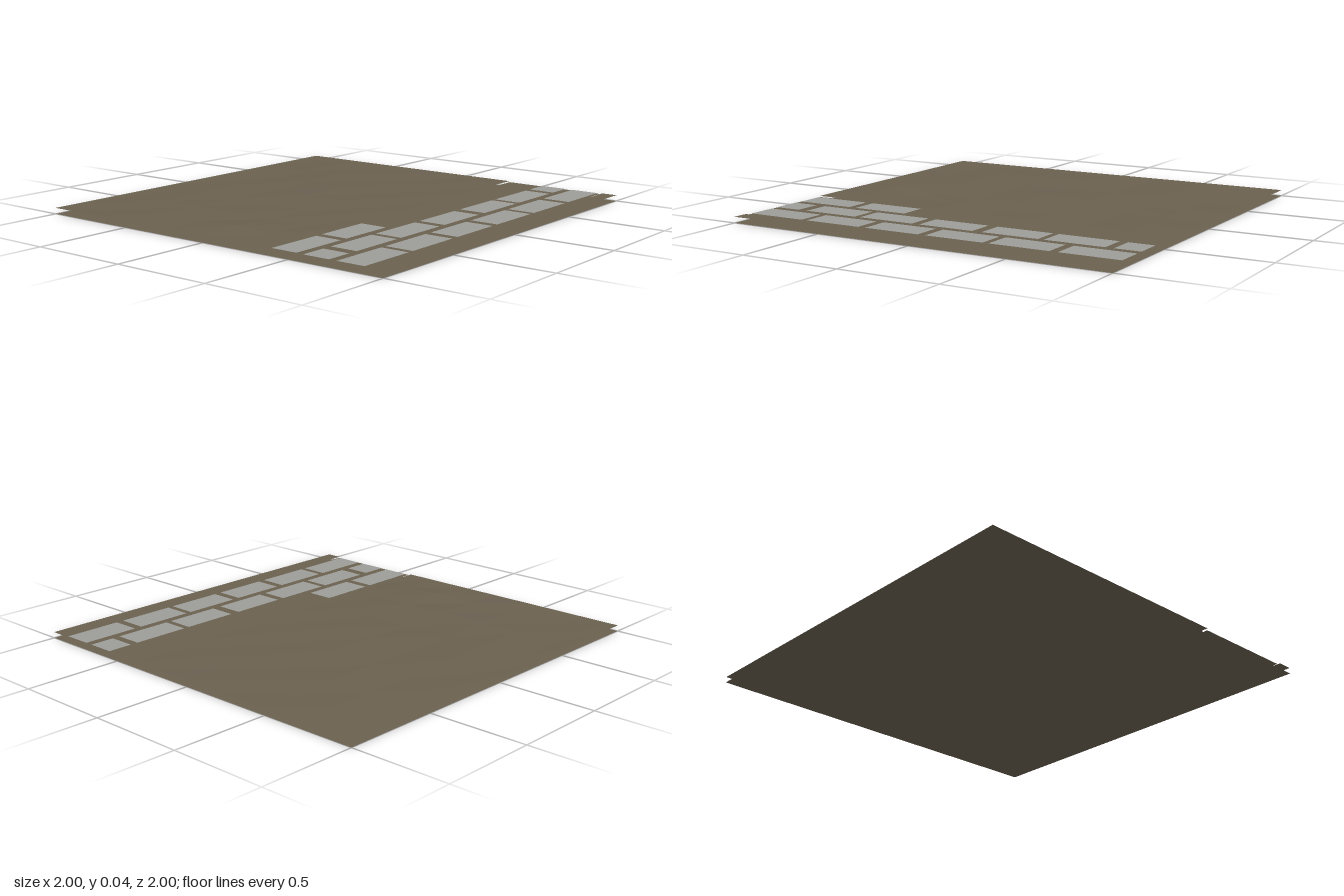
import * as THREE from 'three';

const soil = new THREE.MeshStandardMaterial({ color: 0x6a604f, flatShading: true, side: THREE.DoubleSide });
soil.name = 'soil brown';
const stone = new THREE.MeshStandardMaterial({ color: 0x9c9c99, side: THREE.DoubleSide });
stone.name = 'paving grey';

// Flat horizontal sheet spanning x0..x1, z0..z1 at height y
function sheet(name, material, x0, x1, z0, z1, y) {
  const geometry = new THREE.PlaneGeometry(x1 - x0, z1 - z0).rotateX(-Math.PI / 2);
  const mesh = new THREE.Mesh(geometry, material);
  mesh.position.set((x0 + x1) / 2, y, (z0 + z1) / 2);
  mesh.name = name;
  return mesh;
}

// Uneven ground: an irregular grid with gentle mounds and shallow dips
function unevenGround() {
  const xs = [-1, -0.92, -0.7, -0.48, -0.22, 0, 0.2, 0.36];
  const zs = [-1, -0.78, -0.55, -0.28, 0, 0.27, 0.55, 0.78, 1];
  // Height above the flat level, in thousandths, for each inner grid point
  const bumps = [
    [0, 1, -3, 2, -2, 4],
    [1, 2, 6, -3, 2, -3],
    [0, -2, 2, 9, -2, 1],
    [-1, 3, -3, 2, 4, -3],
    [1, 5, 0, -3, -3, 2],
    [-2, 2, 3, 3, 1, -3],
    [0, -3, 1, 2, 14, 1],
  ];
  const geometry = new THREE.PlaneGeometry(1, 1, xs.length - 1, zs.length - 1).rotateX(-Math.PI / 2);
  const p = geometry.attributes.position;
  for (let i = 0; i < p.count; i++) {
    const col = i % xs.length, row = Math.floor(i / xs.length);
    const bump = bumps[row - 1]?.[col - 1] ?? 0;
    p.setXYZ(i, xs[col], 0.03 + bump / 1000, zs[row]);
  }
  geometry.computeVertexNormals();
  const mesh = new THREE.Mesh(geometry, soil);
  mesh.name = 'unevenGround';
  return mesh;
}

export function createModel() {
  const model = new THREE.Group();
  model.name = 'groundTile';

  // Underside, ground and outer verge
  model.add(sheet('base', soil, -1, 1, -1, 1, 0));
  model.add(unevenGround());
  model.add(sheet('verge', soil, 0.92, 1, -1, 1, 0.03));

  // Path bed with staggered paving stones
  const path = new THREE.Group();
  path.name = 'path';
  path.add(sheet('pathBed', soil, 0.37, 0.91, -0.99, 0.99, 0.027));
  const columns = [
    { x: [0.39, 0.53], z: [[0.35, 0.64], [0.68, 0.98]] },
    { x: [0.57, 0.71], z: [[-0.99, -0.86], [-0.82, -0.52], [-0.49, -0.2], [-0.15, 0.14],
      [0.18, 0.48], [0.51, 0.8], [0.85, 0.985]] },
    { x: [0.75, 0.895], z: [[-0.99, -0.69], [-0.65, -0.35], [-0.32, -0.02], [0.02, 0.31],
      [0.35, 0.65], [0.68, 0.985]] },
  ];
  for (const { x, z } of columns) {
    for (const [z0, z1] of z) path.add(sheet('pavingStone', stone, x[0], x[1], z0, z1, 0.03));
  }
  model.add(path);
  return model;
}
